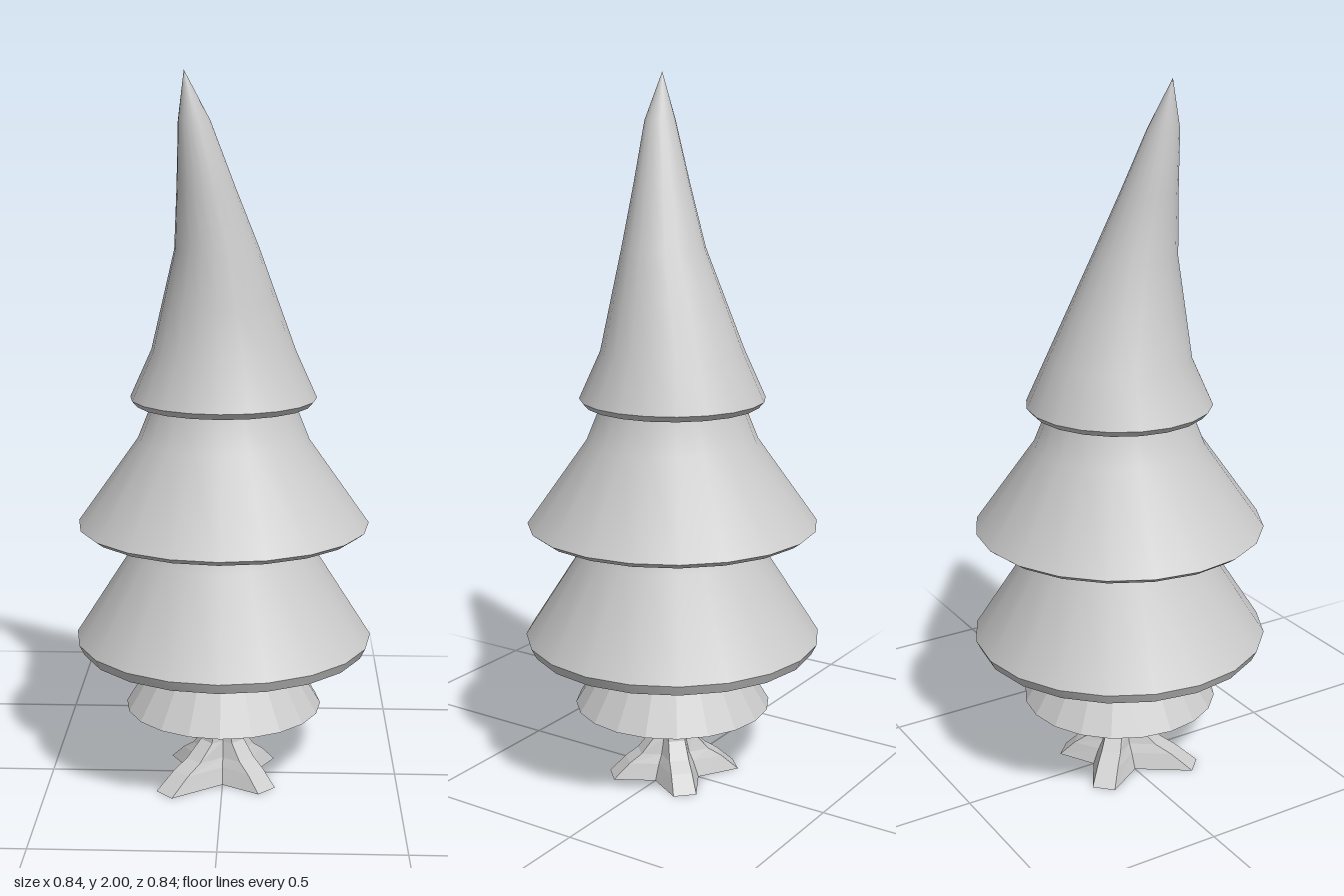
import * as THREE from 'three';
import { toCreasedNormals } from 'three/addons/utils/BufferGeometryUtils.js';

const SIDES = 20;
const smooth = new THREE.MeshStandardMaterial({ color: 0xcccccc, side: THREE.DoubleSide });
const flat = new THREE.MeshStandardMaterial({ color: 0xcccccc, side: THREE.DoubleSide, flatShading: true });

// Hollow tiers: each [radius, y] profile runs down the inside, round the rim and up the outside
const tiers = {
  bottomSkirt: [[0.05, 0.43], [0.14, 0.37], [0.235, 0.235], [0.28, 0.22], [0.17, 0.40], [0.145, 0.48], [0.14, 0.62]],
  lowerTier: [[0.13, 0.63], [0.22, 0.60], [0.35, 0.415], [0.405, 0.40], [0.42, 0.43], [0.26, 0.68], [0.235, 0.745], [0.20, 0.96]],
  middleTier: [[0.18, 0.95], [0.21, 0.93], [0.345, 0.76], [0.39, 0.745], [0.41, 0.76], [0.24, 1.0], [0.20, 1.10], [0.165, 1.24]],
  topTier: [[0.14, 1.25], [0.17, 1.22], [0.215, 1.11], [0.245, 1.10], [0.26, 1.117], [0.20, 1.25],
    [0.158, 1.39], [0.116, 1.53], [0.078, 1.70], [0.043, 1.87], [0, 2.0]],
};

// Sideways lean of the crown: [y, x, z]
const lean = [[1.25, 0, 0], [1.53, -0.016, 0.04], [1.87, -0.074, 0.09], [2.0, -0.1, 0.1]];

function leanAt(y) {
  for (let i = 1; i < lean.length; i++) {
    const [y0, x0, z0] = lean[i - 1], [y1, x1, z1] = lean[i];
    if (y <= y1 + 1e-6) {
      const t = Math.max(0, (y - y0) / (y1 - y0));
      return [x0 + (x1 - x0) * t, z0 + (z1 - z0) * t];
    }
  }
  return [-0.1, 0.1];
}

function makeTier(name, profile) {
  const geo = new THREE.LatheGeometry(profile.map(([r, y]) => new THREE.Vector2(r, y)), SIDES);
  const p = geo.attributes.position;
  if (name === 'topTier') {
    for (let i = 0; i < p.count; i++) {
      const [dx, dz] = leanAt(p.getY(i));
      p.setXYZ(i, p.getX(i) + dx, p.getY(i), p.getZ(i) + dz);
    }
  }
  const isFlat = name === 'bottomSkirt';
  const mesh = new THREE.Mesh(isFlat ? geo : toCreasedNormals(geo, 0.6), isFlat ? flat : smooth);
  mesh.name = name;
  return mesh;
}

// Trunk flaring into four blunt roots on the diagonals
function makeTrunk() {
  const rootLength = [0.18, 0.23, 0.19, 0.175]; // angles 45, 135, 225, 315 degrees
  // y, flare towards full root length, root half width, radius between roots
  const levels = [[0, 1, 0.033, 0.09], [0.045, 0.66, 0.03, 0.072], [0.07, 0.40, 0.028, 0.058],
    [0.115, 0.13, 0.024, 0.046], [0.22, 0, 0.018, 0.036], [0.45, 0, 0.018, 0.036]];
  const pos = [], index = [], ring = 12;
  for (const [y, flare, w, valley] of levels) {
    rootLength.forEach((len, k) => {
      const a = Math.PI / 4 + k * Math.PI / 2;
      const c = Math.cos(a), s = Math.sin(a), r = 0.043 + (len - 0.043) * flare;
      pos.push(r * c + w * s, y, r * s - w * c);
      pos.push(r * c - w * s, y, r * s + w * c);
      pos.push(valley * Math.cos(a + Math.PI / 4), y, valley * Math.sin(a + Math.PI / 4));
    });
  }
  for (let j = 0; j < levels.length - 1; j++) {
    for (let i = 0; i < ring; i++) {
      const a = j * ring + i, b = j * ring + (i + 1) % ring;
      index.push(a, a + ring, b, b, a + ring, b + ring);
    }
  }
  // Base under the roots
  const centre = pos.length / 3;
  pos.push(0, 0, 0);
  for (let i = 0; i < ring; i++) index.push(centre, i, (i + 1) % ring);
  const geo = new THREE.BufferGeometry();
  geo.setAttribute('position', new THREE.Float32BufferAttribute(pos, 3));
  geo.setIndex(index);
  geo.computeVertexNormals();
  const mesh = new THREE.Mesh(geo, flat);
  mesh.name = 'trunkAndRoots';
  return mesh;
}

export function createModel() {
  const tree = new THREE.Group();
  tree.name = 'tree';
  tree.add(makeTrunk());
  for (const [name, profile] of Object.entries(tiers)) tree.add(makeTier(name, profile));
  return tree;
}
